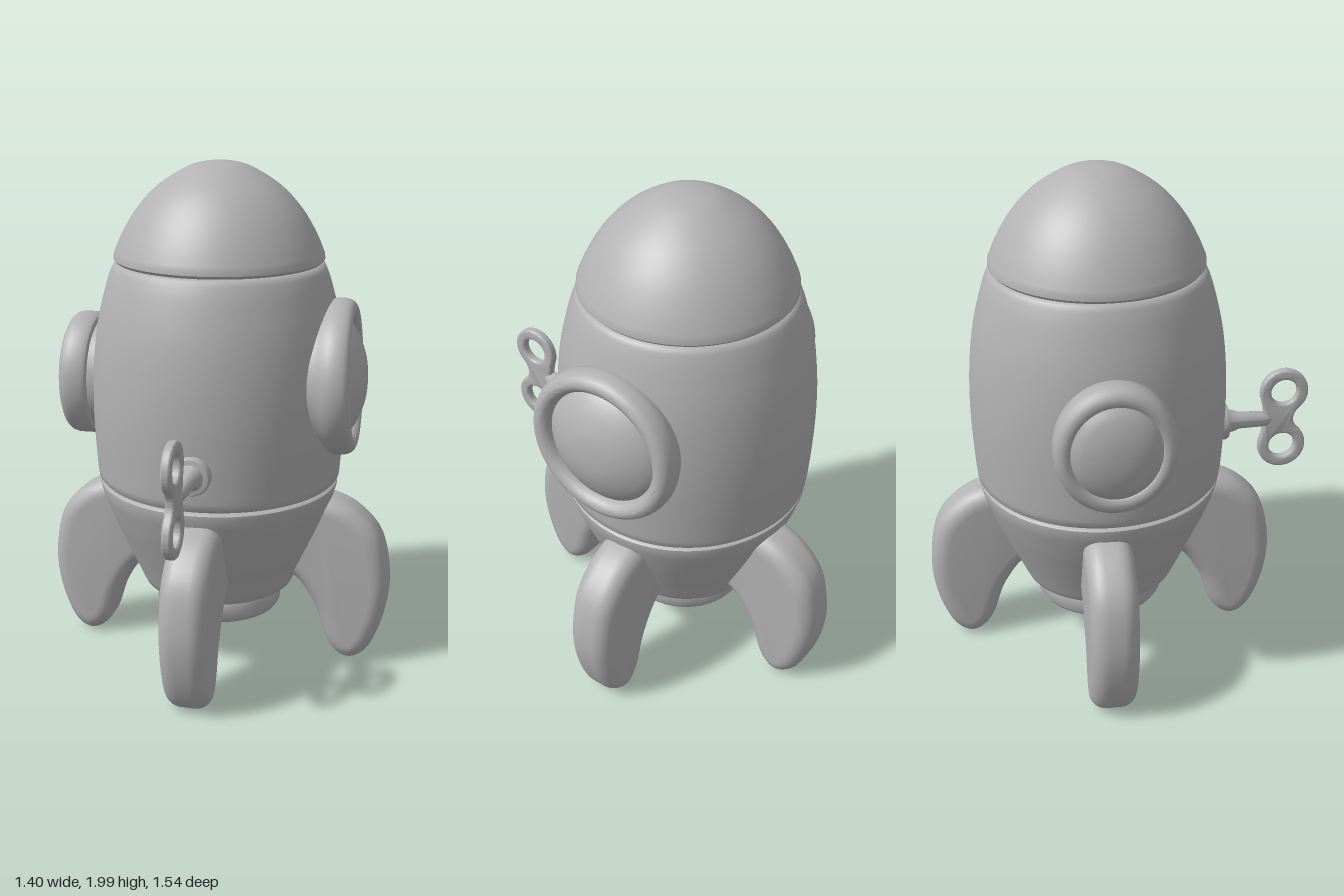
import * as THREE from 'three';
import { toCreasedNormals } from 'three/addons/utils/BufferGeometryUtils.js';

const grey = new THREE.MeshStandardMaterial({ color: 0xb2b2b2 });
grey.name = 'plain grey';

const AXIS_Z = -0.08;
const vec = (pts) => pts.map(([x, y]) => new THREE.Vector2(x, y));
const smooth = (pts, n = 24) => new THREE.SplineCurve(vec(pts)).getPoints(n);

function mesh(name, geometry, parent) {
  const m = new THREE.Mesh(geometry, grey);
  m.name = name;
  parent.add(m);
  return m;
}

// Turned part: profile runs from the bottom up the outside
const turned = (points, segments = 72) =>
  toCreasedNormals(new THREE.LatheGeometry(points, segments), 0.7);

function buildHull(root) {
  const hull = new THREE.Group();
  hull.name = 'hull';
  hull.position.z = AXIS_Z;
  root.add(hull);

  mesh('noseCone', turned([
    ...vec([[0.37, 1.622], [0.395, 1.624], [0.405, 1.635]]),
    ...smooth([[0.403, 1.655], [0.37, 1.73], [0.315, 1.82], [0.235, 1.905], [0.13, 1.972], [0.06, 1.994], [0, 2]]),
  ]), hull);

  mesh('bodyShell', turned([
    ...vec([[0.44, 0.762], [0.472, 0.765], [0.481, 0.775]]),
    ...smooth([[0.484, 0.80], [0.493, 0.95], [0.496, 1.1], [0.489, 1.25], [0.469, 1.4], [0.434, 1.54], [0.412, 1.6]]),
    ...vec([[0.404, 1.615], [0.39, 1.621], [0.34, 1.623]]),
  ]), hull);

  mesh('lowerCone', turned([
    ...vec([[0, 0.30], [0.26, 0.30], [0.285, 0.303], [0.302, 0.315]]),
    ...smooth([[0.312, 0.335], [0.345, 0.41], [0.385, 0.5], [0.428, 0.6], [0.462, 0.69]]),
    ...vec([[0.475, 0.735], [0.475, 0.75], [0.465, 0.758], [0.43, 0.76]]),
  ]), hull);

  // Exhaust ring with a dome inside its bore
  mesh('nozzle', turned(vec([
    [0.165, 0.32], [0.168, 0.225], [0.176, 0.206], [0.19, 0.2], [0.225, 0.2],
    [0.243, 0.206], [0.253, 0.222], [0.253, 0.27], [0.247, 0.29], [0.23, 0.31],
  ])), hull);
  const flame = mesh('nozzleDome', new THREE.SphereGeometry(0.15, 40, 20), hull);
  flame.scale.y = 0.5;
  flame.position.y = 0.3;
}

function buildFins(root) {
  // Side outline, x measured outward from the axis
  const outline = new THREE.SplineCurve(vec([
    [0.33, 0.67], [0.40, 0.70], [0.47, 0.697], [0.57, 0.65], [0.663, 0.545], [0.70, 0.37], [0.688, 0.22],
    [0.645, 0.09], [0.60, 0.03], [0.55, 0.01], [0.50, 0.03], [0.455, 0.09],
    [0.41, 0.22], [0.335, 0.335], [0.25, 0.39], [0.24, 0.53], [0.33, 0.67],
  ])).getPoints(72);
  outline.pop();
  const bevel = 0.065, width = 0.185;
  const raw = new THREE.ExtrudeGeometry(new THREE.Shape(outline), {
    depth: width - 2 * bevel, bevelThickness: bevel, bevelSize: bevel, bevelOffset: -bevel,
    bevelSegments: 7, steps: 1,
  });
  raw.translate(0, 0, -(width - 2 * bevel) / 2);
  const geometry = toCreasedNormals(raw, 0.6);

  // Name, turn about y, sideways x, z of the turning axis
  [
    ['leftFin', 0, 0, -0.1],
    ['rightFin', Math.PI, 0, -0.1],
    ['frontFin', -Math.PI / 2, 0.024, -0.07],
    ['backFin', Math.PI / 2, 0.05, -0.068],
  ].forEach(([name, turn, x, z]) => {
    const fin = mesh(name, geometry, root);
    fin.rotation.y = turn;
    fin.position.set(x, 0, z);
  });
}

function buildPortholes(root) {
  // Large window, tipped slightly up and back to follow the hull
  const large = new THREE.Group();
  large.name = 'leftPorthole';
  large.rotation.set(0, 0.04, -Math.PI / 2 + 0.045);
  large.position.set(0, 1.173, -0.046);
  root.add(large);
  mesh('largeRing', turned([
    ...vec([[0.26, 0.34], [0.275, 0.41]]),
    ...smooth([[0.285, 0.43], [0.3, 0.465], [0.301, 0.5], [0.29, 0.532], [0.265, 0.547], [0.24, 0.538], [0.226, 0.515], [0.22, 0.48]], 20),
  ]), large);
  mesh('largeGlass', turned(smooth([[0.228, 0.505], [0.2, 0.53], [0.15, 0.558], [0.08, 0.581], [0, 0.588]], 16)), large);

  // Small oval window on the other side
  const small = new THREE.Group();
  small.name = 'rightPorthole';
  small.rotation.z = Math.PI / 2;
  small.position.set(0, 1.14, -0.085);
  small.scale.z = 0.9;
  root.add(small);
  mesh('smallRing', turned(vec([
    [0.215, 0.38], [0.217, 0.488], [0.236, 0.492], [0.246, 0.505], [0.247, 0.56], [0.243, 0.58],
    [0.232, 0.594], [0.215, 0.602], [0.195, 0.602], [0.184, 0.595], [0.178, 0.57],
  ])), small);
  mesh('smallGlass', turned(smooth([[0.183, 0.588], [0.15, 0.61], [0.1, 0.626], [0.05, 0.634], [0, 0.636]], 16)), small);
}

function buildKey(root) {
  const key = new THREE.Group();
  key.name = 'windUpKey';
  key.position.set(0.018, 0.917, 0);
  root.add(key);

  // Collar and stem, turned about z
  const stem = mesh('keyStem', turned(vec([
    [0.072, 0.36], [0.074, 0.43], [0.068, 0.441], [0.05, 0.444], [0.046, 0.45],
    [0.042, 0.47], [0.034, 0.49], [0.031, 0.60], [0.02, 0.618], [0, 0.622],
  ]), 32), key);
  stem.rotation.x = Math.PI / 2;

  // Flat bow: two eyes joined by a waist, drawn with x running forward
  const u = 0.67, v = 0.119, r = 0.097;
  const at = (a, side) => [u + r * Math.cos(a), side * (v + r * Math.sin(a))];
  const bow = new THREE.Shape();
  bow.moveTo(...at(-0.9, 1));
  bow.absarc(u, v, r, -0.9, Math.PI + 0.35, false);
  bow.quadraticCurveTo(0.605, 0, ...at(Math.PI + 0.35, -1));
  bow.absarc(u, -v, r, Math.PI - 0.35, Math.PI * 2 + 0.9, false);
  bow.quadraticCurveTo(0.695, 0, ...at(-0.9, 1));
  for (const y of [v, -v]) {
    const eye = new THREE.Path();
    eye.absarc(u, y, 0.053, 0, Math.PI * 2, true);
    bow.holes.push(eye);
  }
  const plate = new THREE.ExtrudeGeometry(bow, {
    depth: 0.016, bevelThickness: 0.01, bevelSize: 0.01, bevelOffset: -0.01, bevelSegments: 3, curveSegments: 28,
  });
  plate.translate(0, 0, -0.008);
  plate.rotateY(-Math.PI / 2);
  mesh('keyBow', toCreasedNormals(plate, 0.7), key);
}

export function createModel() {
  const root = new THREE.Group();
  root.name = 'toyRocket';
  buildHull(root);
  buildFins(root);
  buildPortholes(root);
  buildKey(root);
  return root;
}
